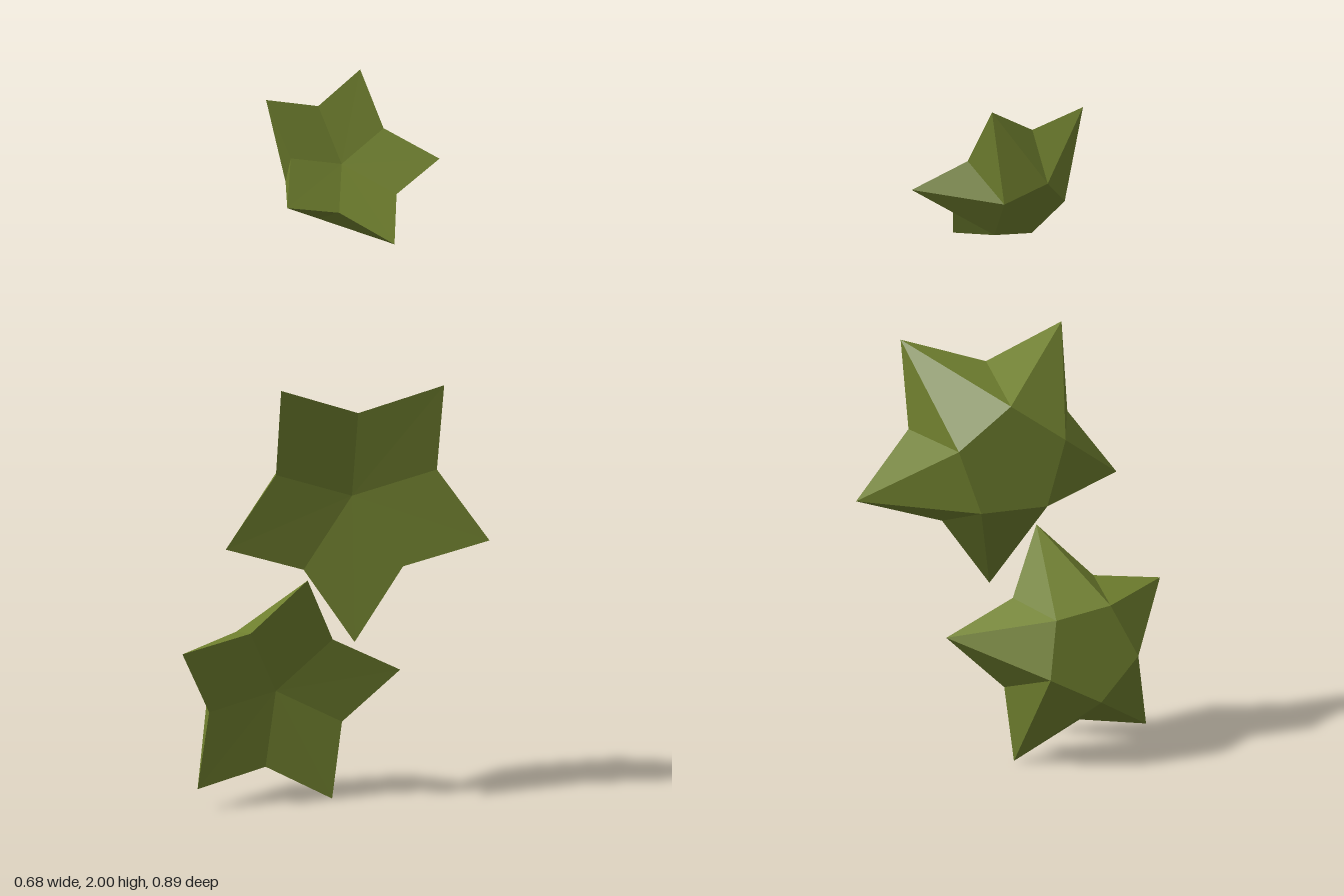
import * as THREE from 'three';

const olive = new THREE.MeshStandardMaterial({ color: 0x70802f, flatShading: true });
olive.name = 'olive';

// Faceted five-pointed star cup of unit tip radius; the hollow side faces +z.
function starGeometry() {
  const ring = (radius, z, shift) => Array.from({ length: 5 }, (_, i) => {
    const a = (i + shift) * Math.PI * 2 / 5;
    return new THREE.Vector3(Math.cos(a) * radius, Math.sin(a) * radius, z);
  });
  const tip = ring(1, 0, 0);
  const notch = ring(0.61, -0.088, 0.5);
  const back = ring(0.41, -0.62, 0.5);
  const hollow = new THREE.Vector3(0, 0, -0.18);
  const base = new THREE.Vector3(0, 0, -0.62);

  const points = [];
  for (let i = 0; i < 5; i++) {
    const p = (i + 4) % 5;
    points.push(
      hollow, notch[p], tip[i], hollow, tip[i], notch[i],   // hollow face
      tip[i], notch[p], back[p], notch[i], tip[i], back[i], // sides of the point
      tip[i], back[p], back[i],                             // underside of the point
      base, back[i], back[p],                               // flat pentagon base
    );
  }
  const geometry = new THREE.BufferGeometry().setFromPoints(points);
  geometry.computeVertexNormals();
  return geometry;
}

// Centre, tip radius, facing direction and direction of one tip.
const stars = [
  { name: 'topStar', at: [-0.132, 1.802, -0.192], size: 0.284, facing: [0.757, 0.584, 0.291], tip: [-0.188, 0.168, 0.152] },
  { name: 'middleStar', at: [0.108, 0.893, 0.082], size: 0.403, facing: [0.798, -0.026, 0.603], tip: [-0.013, -0.408, 0.003] },
  { name: 'bottomStar', at: [-0.089, 0.32, 0.169], size: 0.35, facing: [0.842, -0.14, 0.519], tip: [0.069, 0.345, -0.019] },
];

export function createModel() {
  const model = new THREE.Group();
  model.name = 'starCluster';
  const geometry = starGeometry();
  for (const s of stars) {
    const n = new THREE.Vector3(...s.facing).normalize();
    const u = new THREE.Vector3(...s.tip).projectOnPlane(n).normalize();
    const v = n.clone().cross(u);
    const star = new THREE.Mesh(geometry, olive);
    star.name = s.name;
    star.quaternion.setFromRotationMatrix(new THREE.Matrix4().makeBasis(u, v, n));
    star.position.set(...s.at);
    star.scale.setScalar(s.size);
    model.add(star);
  }
  return model;
}
